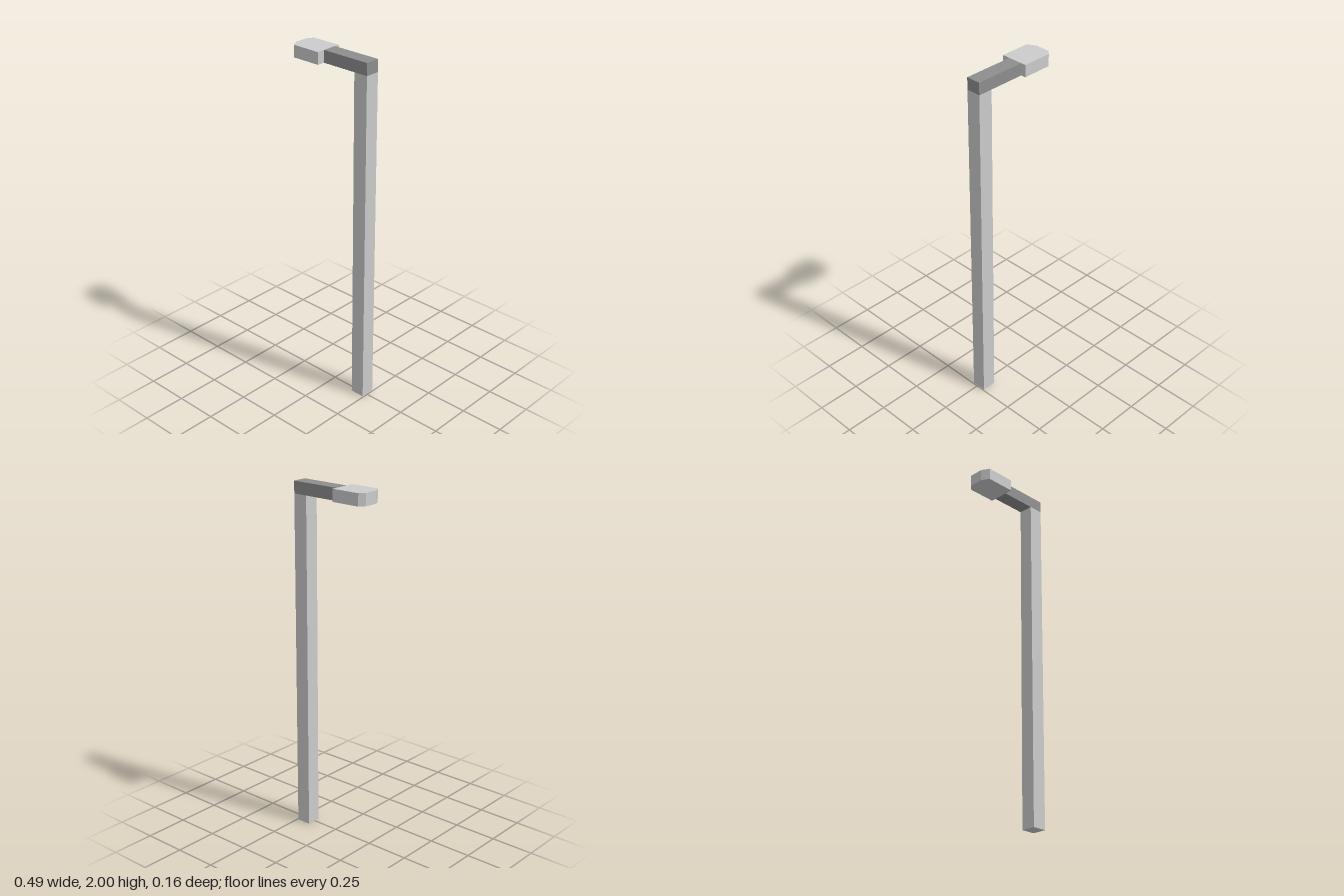
import * as THREE from 'three';

const BASE_TOP = 1.932, TOP = 2;

// Box given by its minimum and maximum corners
function block(name, [x0, y0, z0], [x1, y1, z1], material) {
  const geometry = new THREE.BoxGeometry(x1 - x0, y1 - y0, z1 - z0);
  geometry.translate((x0 + x1) / 2, (y0 + y1) / 2, (z0 + z1) / 2);
  const mesh = new THREE.Mesh(geometry, material);
  mesh.name = name;
  return mesh;
}

export function createModel() {
  const group = new THREE.Group();
  group.name = 'streetLamp';
  const grey = new THREE.MeshStandardMaterial({ color: 0xcccccc, flatShading: true });
  const dark = new THREE.MeshStandardMaterial({ color: 0x8e8e8e, flatShading: true });

  // Square post and the horizontal arm resting on it
  group.add(block('post', [0.16, 0, -0.051], [0.244, BASE_TOP, 0.032], grey));
  group.add(block('arm', [-0.048, BASE_TOP, -0.051], [0.244, TOP, 0.032], dark));

  // Lamp head: plan outline (x, -z) with chamfered outer corners
  const outline = [
    [-0.048, -0.077], [-0.048, 0.079], [-0.218, 0.079],
    [-0.244, 0.051], [-0.244, -0.032], [-0.218, -0.077],
  ].map(([x, y]) => new THREE.Vector2(x, y));
  const headGeometry = new THREE.ExtrudeGeometry(new THREE.Shape(outline), {
    depth: TOP - BASE_TOP, bevelEnabled: false,
  });
  headGeometry.rotateX(-Math.PI / 2);
  headGeometry.translate(0, BASE_TOP, 0);
  const head = new THREE.Mesh(headGeometry, grey);
  head.name = 'lampHead';
  group.add(head);

  return group;
}
